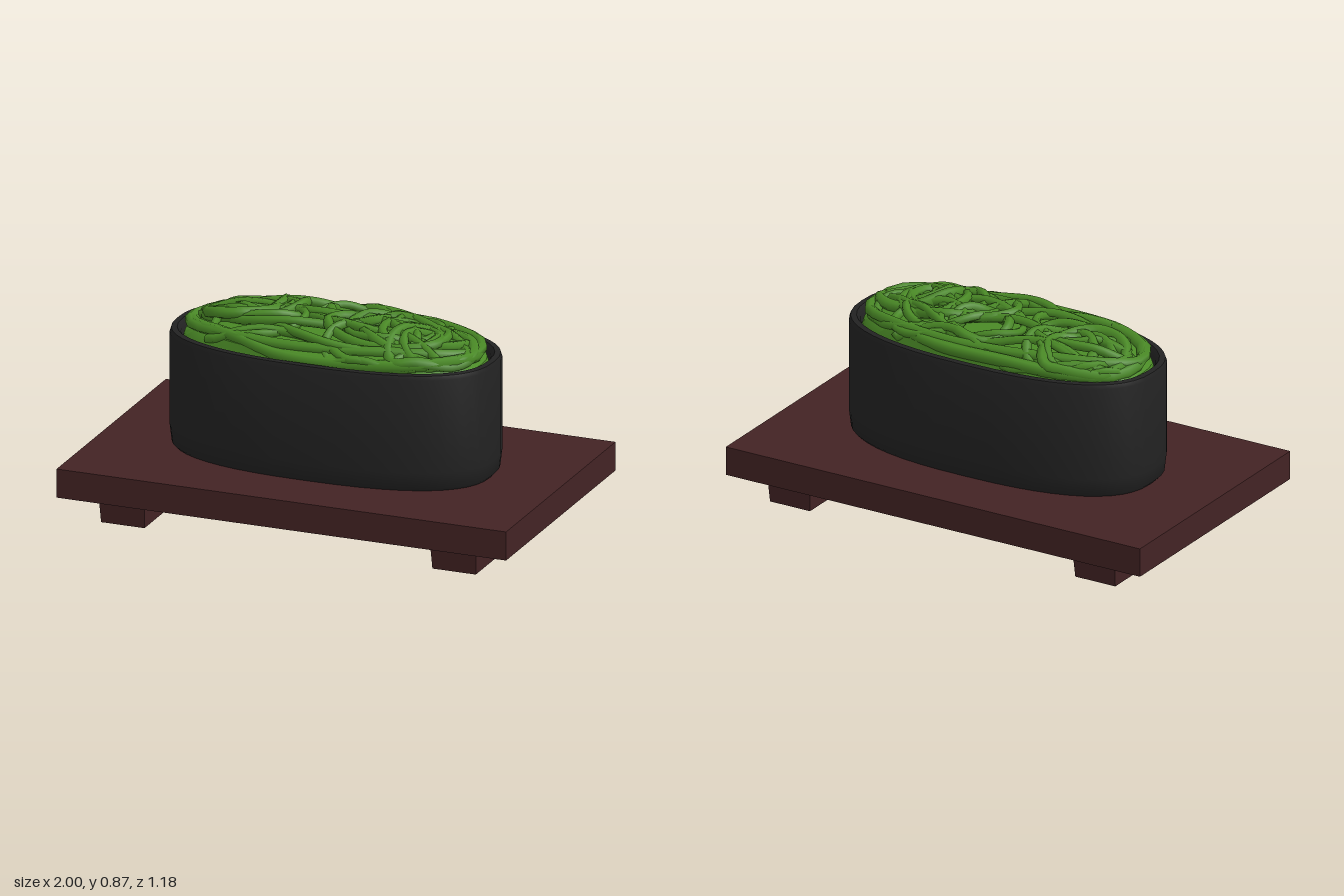
import * as THREE from 'three';
import { toCreasedNormals } from 'three/addons/utils/BufferGeometryUtils.js';

const wood = new THREE.MeshStandardMaterial({ color: 0x432324 });
wood.name = 'dark red wood';
const nori = new THREE.MeshStandardMaterial({ color: 0x222222 });
nori.name = 'black nori';
const green = new THREE.MeshStandardMaterial({ color: 0x4a8a26 });
green.name = 'green seaweed';

const POWER = 2.5; // squareness of the oval
const HALF_X = 0.71, HALF_Z = 0.355;

// Small seeded random generator
function seeded(seed) {
  return () => {
    seed = (seed * 16807) % 2147483647;
    return seed / 2147483647;
  };
}

const bend = (v) => Math.sign(v) * Math.pow(Math.abs(v), 2 / POWER);

// Oval ring or dome from a profile of [inset from the outer wall, height]
function ovalLathe(profile) {
  const points = profile.map(([inset, y]) => new THREE.Vector2(1 - inset / HALF_X, y));
  const geometry = new THREE.LatheGeometry(points, 48);
  const p = geometry.attributes.position;
  for (let i = 0; i < p.count; i++) {
    const x = p.getX(i), z = p.getZ(i), r = Math.hypot(x, z);
    const c = r > 1e-6 ? x / r : 0, s = r > 1e-6 ? z / r : 0;
    const inset = (1 - r) * HALF_X;
    // Deep insets shrink evenly, shallow ones keep an even wall thickness
    const halfZ = inset < 0.1 ? HALF_Z - inset : HALF_Z * r;
    p.setX(i, HALF_X * r * bend(c));
    p.setZ(i, halfZ * bend(s));
  }
  return toCreasedNormals(geometry, 0.7);
}

// Box whose bottom is narrower than its top
function taperedBox(w, h, d, insetX, insetZ) {
  const geometry = new THREE.BoxGeometry(w, h, d);
  const p = geometry.attributes.position;
  for (let i = 0; i < p.count; i++) {
    if (p.getY(i) > 0) continue;
    p.setX(i, p.getX(i) - Math.sign(p.getX(i)) * insetX);
    p.setZ(i, p.getZ(i) - Math.sign(p.getZ(i)) * insetZ);
  }
  geometry.computeVertexNormals();
  return geometry;
}

// Lays a point on the domed filling, kept inside the wrap
function onDome(x, z, lift) {
  const rho = Math.pow(Math.abs(x / 0.625) ** POWER + Math.abs(z / 0.28) ** POWER, 1 / POWER);
  const k = rho > 1 ? 1 / rho : 1;
  return new THREE.Vector3(x * k, 0.757 + 0.073 * (1 - Math.min(rho, 1) ** 4) + lift, z * k);
}

function createModel() {
  const model = new THREE.Group();
  const add = (parent, name, geometry, material, x = 0, y = 0, z = 0) => {
    const mesh = new THREE.Mesh(geometry, material);
    mesh.name = name;
    mesh.position.set(x, y, z);
    parent.add(mesh);
    return mesh;
  };

  // Serving board on two rails
  add(model, 'board', new THREE.BoxGeometry(2, 0.125, 1.18), wood, 0, 0.1725, 0);
  for (const side of [-1, 1]) {
    add(model, side > 0 ? 'leftFoot' : 'rightFoot',
      taperedBox(0.205, 0.115, 1.05, 0.006, 0.012), wood, side * 0.737, 0.0575, 0);
  }

  // Seaweed wrap, an open oval band
  add(model, 'wrap', ovalLathe([
    [0.05, 0.237], [0.02, 0.237], [0.008, 0.25], [0, 0.32], [0, 0.725],
    [0.006, 0.743], [0.03, 0.745], [0.045, 0.725], [0.05, 0.6], [0.05, 0.237],
  ]), nori);

  // Filling: a low mound under tangled strands
  const filling = new THREE.Group();
  filling.name = 'filling';
  model.add(filling);
  add(filling, 'mound', ovalLathe([
    [0.05, 0.69], [0.06, 0.725], [0.13, 0.765], [0.25, 0.788], [0.45, 0.797], [0.71, 0.8],
  ]), green);

  const random = seeded(4217);
  const range = (a, b) => a + (b - a) * random();

  const addStrand = (points, closed, radius) => {
    const curve = new THREE.CatmullRomCurve3(points, closed);
    add(filling, 'strand', new THREE.TubeGeometry(curve, points.length * 3, radius, 6, closed), green);
  };

  // Uneven loop around a centre, weaving over and under its neighbours
  const addLoop = (cx, cz, rx, rz, radius, lift = 0) => {
    const phase = range(0, 6.28), waves = 2 + Math.floor(random() * 2);
    const points = [];
    for (let i = 0; i < 14; i++) {
      const a = (i / 14) * Math.PI * 2;
      const k = 1 + 0.1 * Math.sin(2 * a + phase);
      points.push(onDome(cx + Math.cos(a) * rx * k, cz + Math.sin(a) * rz * k,
        lift + 0.013 * Math.sin(waves * a + phase)));
    }
    addStrand(points, true, radius);
  };

  // Outer loops that follow the wrap
  addLoop(0, 0, 0.68, 0.31, 0.027);
  addLoop(0, 0, 0.6, 0.26, 0.024, 0.004);

  // Coils at both ends
  for (const [x, z, r] of [[-0.43, -0.1, 0.17], [0.46, 0.09, 0.17]]) {
    addLoop(x, z, r, r, 0.026, 0.006);
    addLoop(x + 0.02, z, r * 0.72, r * 0.75, 0.02, 0.004);
  }

  // Loose loops across the top
  for (let i = 0; i < 13; i++) {
    addLoop(range(-0.48, 0.48), range(-0.14, 0.14), range(0.1, 0.28), range(0.08, 0.17), range(0.016, 0.024));
  }

  // Long wavy strands from end to end
  for (let i = 0; i < 7; i++) {
    const z0 = -0.24 + i * 0.08, phase = range(0, 6.28), slope = range(-0.2, 0.2);
    const points = [];
    for (let j = 0; j <= 11; j++) {
      const x = -0.58 + j * 0.105;
      points.push(onDome(x, z0 + slope * x + 0.06 * Math.sin(x * 7 + phase),
        0.014 * Math.sin(x * 11 + phase)));
    }
    addStrand(points, false, 0.02);
  }

  return model;
}

export { createModel };
